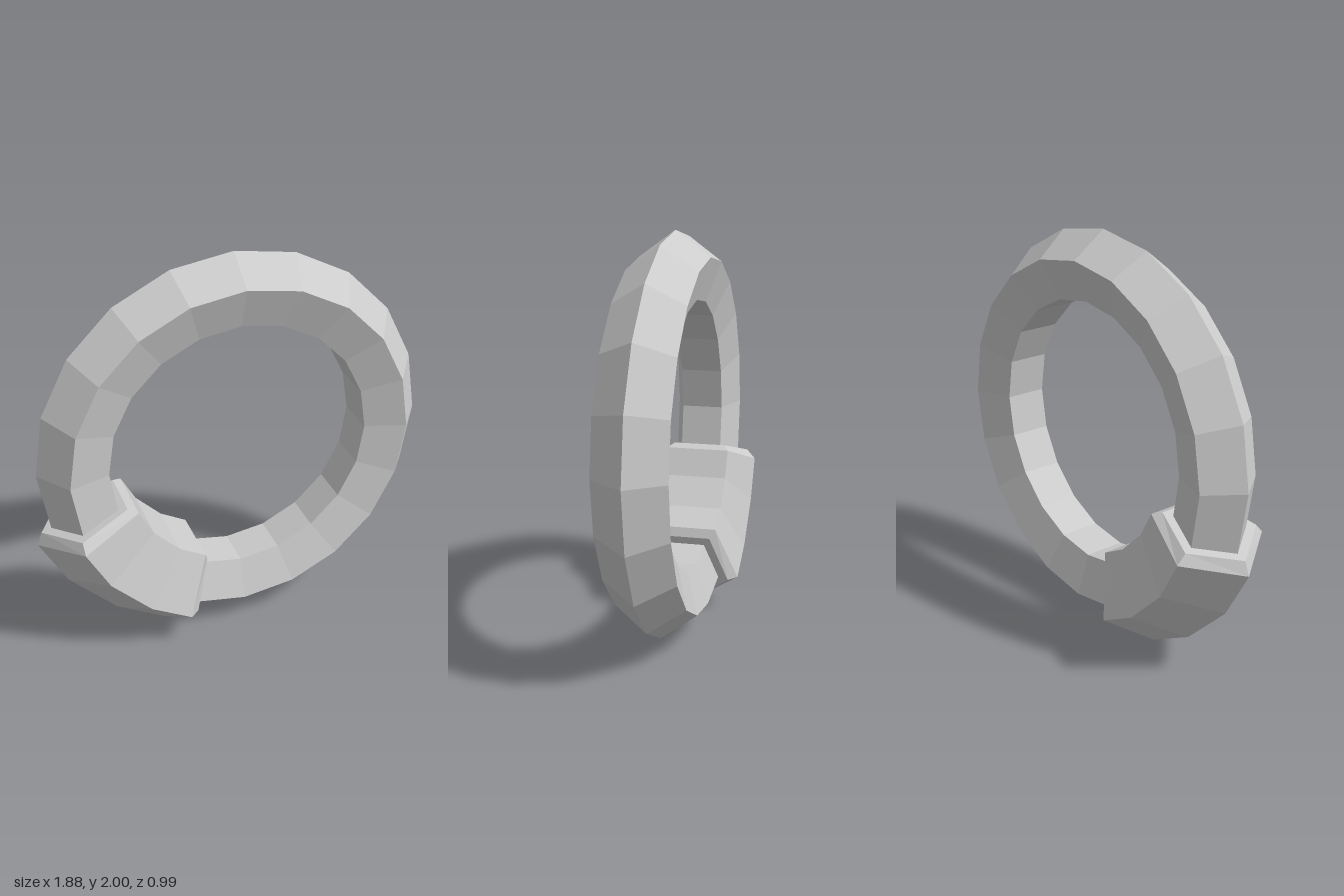
import * as THREE from 'three';

const R = 0.8075;   // centre-line radius of the ring
const TUBE = 0.18;  // ring thickness radius
const SIDES = 5;    // pentagonal cross-section, one corner facing outward

// Pentagonal band swept around the ring; each section is [angle in degrees, thickness radius]
function bandGeometry(sections) {
  const point = ([deg, r], j) => {
    const a = THREE.MathUtils.degToRad(deg);
    const v = (j / SIDES) * Math.PI * 2;
    const d = R + r * Math.cos(v);
    return [d * Math.cos(a), d * Math.sin(a), r * Math.sin(v)];
  };
  const pos = [];
  for (let i = 0; i < sections.length - 1; i++) {
    for (let j = 0; j < SIDES; j++) {
      const a = point(sections[i], j), b = point(sections[i + 1], j);
      const c = point(sections[i + 1], j + 1), d = point(sections[i], j + 1);
      pos.push(...a, ...b, ...c, ...a, ...c, ...d);
    }
  }
  const geo = new THREE.BufferGeometry();
  geo.setAttribute('position', new THREE.Float32BufferAttribute(pos, 3));
  geo.computeVertexNormals();
  return geo;
}

export function createModel() {
  const model = new THREE.Group();
  model.name = 'ringWithClasp';
  const material = new THREE.MeshStandardMaterial({ color: 0xcccccc, flatShading: true });

  // Both parts share the ring's centre and turn
  const assembly = new THREE.Group();
  assembly.name = 'ringAssembly';
  assembly.position.set(0.004, 1.0125, -0.037);
  assembly.rotation.y = THREE.MathUtils.degToRad(20);
  model.add(assembly);

  // Faceted ring
  const ring = new THREE.Mesh(new THREE.TorusGeometry(R, TUBE, SIDES, 20), material);
  ring.name = 'ring';
  assembly.add(ring);

  // Thicker clasp with bevelled ends and flat end faces closing onto the ring
  const clasp = new THREE.Mesh(bandGeometry([
    [198, 0.17], [198, 0.232], [201, 0.278], [216, 0.278],
    [234, 0.278], [249, 0.278], [252, 0.232], [252, 0.17],
  ]), material);
  clasp.name = 'clasp';
  assembly.add(clasp);

  return model;
}
